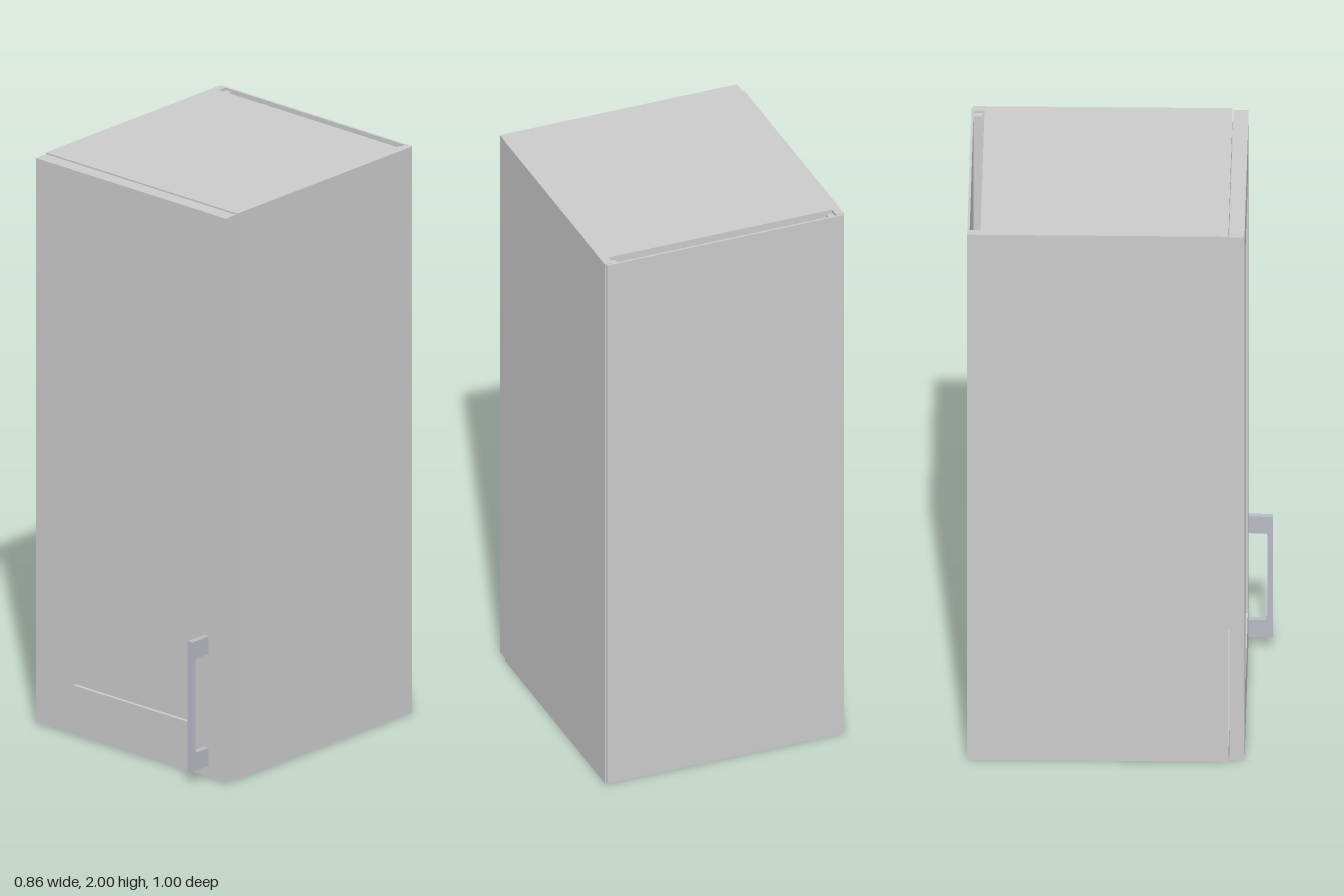
import * as THREE from 'three';

const grey = new THREE.MeshStandardMaterial({ color: 0xcccccc });
const metal = new THREE.MeshStandardMaterial({ color: 0xb7bcc3 });

// Box given by its limits on each axis
function board(name, [x0, x1], [y0, y1], [z0, z1]) {
  const mesh = new THREE.Mesh(new THREE.BoxGeometry(x1 - x0, y1 - y0, z1 - z0), grey);
  mesh.name = name;
  mesh.position.set((x0 + x1) / 2, (y0 + y1) / 2, (z0 + z1) / 2);
  return mesh;
}

function rectPath(path, x0, x1, y0, y1) {
  path.moveTo(x0, y0);
  path.lineTo(x1, y0);
  path.lineTo(x1, y1);
  path.lineTo(x0, y1);
  path.closePath();
  return path;
}

// Door: a frame around a slightly recessed panel
function createDoor() {
  const door = new THREE.Group();
  door.name = 'door';
  const shape = rectPath(new THREE.Shape(), -0.424, 0.424, 0.008, 1.996);
  shape.holes.push(rectPath(new THREE.Path(), -0.255, 0.255, 0.18, 1.83));
  const frame = new THREE.Mesh(
    new THREE.ExtrudeGeometry(shape, { depth: 0.05, bevelEnabled: false }), grey);
  frame.name = 'doorFrame';
  frame.position.z = 0.367;
  door.add(frame, board('doorPanel', [-0.255, 0.255], [0.18, 1.83], [0.367, 0.405]));
  return door;
}

// Handle: U-shaped side outline (z, y) with softened inner corners
function createHandle() {
  const s = new THREE.Shape();
  const base = 0.417, front = 0.498, inner = 0.481, r = 0.012;
  s.moveTo(base, 0.048);
  s.lineTo(front, 0.048);
  s.lineTo(front, 0.505);
  s.lineTo(base, 0.505);
  s.lineTo(base, 0.442);
  s.lineTo(inner - r, 0.442);
  s.quadraticCurveTo(inner, 0.442, inner, 0.442 - r);
  s.lineTo(inner, 0.112 + r);
  s.quadraticCurveTo(inner, 0.112, inner - r, 0.112);
  s.lineTo(base, 0.112);
  s.closePath();
  const geo = new THREE.ExtrudeGeometry(s, { depth: 0.02, bevelEnabled: false, curveSegments: 5 });
  geo.rotateY(-Math.PI / 2); // outline x becomes z, depth becomes -x
  const handle = new THREE.Mesh(geo, metal);
  handle.name = 'handle';
  handle.position.x = 0.348;
  return handle;
}

export function createModel() {
  const cabinet = new THREE.Group();
  cabinet.name = 'wallCabinet';

  // Side walls and the rear corner battens
  for (const [side, s] of [['left', 1], ['right', -1]]) {
    const span = (a, b) => (s > 0 ? [a, b] : [-b, -a]);
    cabinet.add(
      board(side + 'Side', span(0.4, 0.428), [0.004, 2], [-0.491, 0.364]),
      board(side + 'Batten', span(0.378, 0.4), [0.012, 1.99], [-0.491, -0.462]));
  }

  // Top and bottom stop short of the back, leaving a slot
  cabinet.add(
    board('top', [-0.4, 0.4], [1.972, 2], [-0.455, 0.364]),
    board('bottom', [-0.4, 0.4], [0.004, 0.032], [-0.455, 0.364]),
    board('backPanel', [-0.422, 0.422], [0.006, 1.998], [-0.499, -0.491]));

  cabinet.add(createDoor(), createHandle());
  return cabinet;
}
